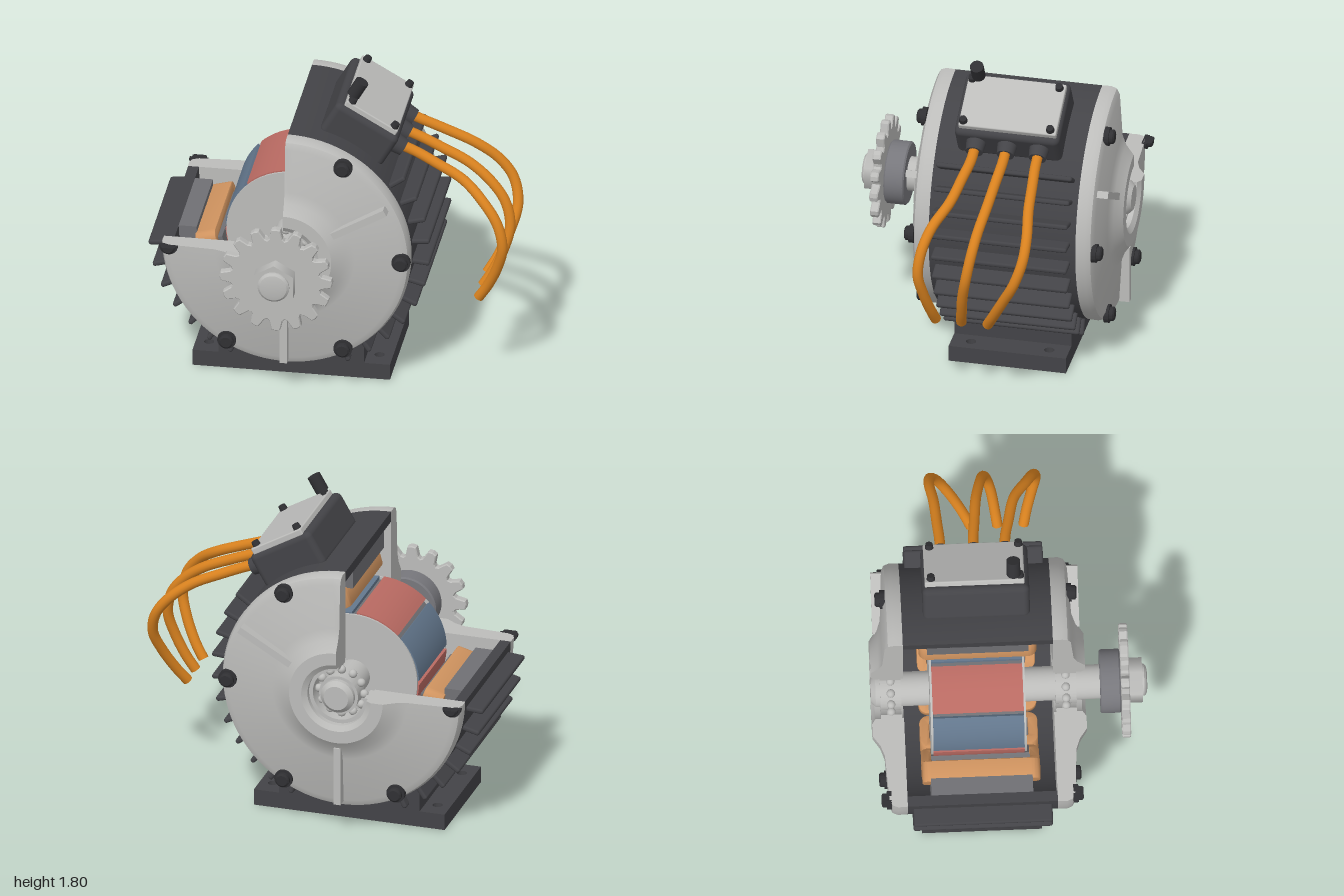
import * as THREE from 'three';
import { mergeGeometries, toCreasedNormals } from 'three/addons/utils/BufferGeometryUtils.js';
import { RoundedBoxGeometry } from 'three/addons/geometries/RoundedBoxGeometry.js';

const mat = (name, color) => Object.assign(new THREE.MeshStandardMaterial({ color }), { name });
const rad = THREE.MathUtils.degToRad;

export function createModel() {
  const root = new THREE.Group();
  root.name = 'cutawayMotor';
  const dark = mat('darkCasing', 0x434347);
  const black = mat('blackBolt', 0x303033);
  const metal = mat('castMetal', 0xbcbcba);
  const steel = mat('laminationSteel', 0x707074);
  const collarGrey = mat('collarGrey', 0x77777c);
  const copper = mat('copperWinding', 0xcf935f);
  const orange = mat('orangeCable', 0xd9821f);
  const red = mat('redMagnet', 0xb96a62);
  const blue = mat('blueMagnet', 0x64788e);

  const add = (parent, name, geo, material, x = 0, y = 0, z = 0) => {
    const m = new THREE.Mesh(geo, material);
    m.name = name;
    m.position.set(x, y, z);
    parent.add(m);
    return m;
  };
  const group = (parent, name) => {
    const g = new THREE.Group();
    g.name = name;
    parent.add(g);
    return g;
  };

  // Revolves a closed counter-clockwise (radius, z) profile through part of a
  // turn about z, and closes both cut ends. Angles in degrees from +x.
  const sector = (profile, start = 180, length = 270, side = 1) => {
    let pts = profile.map(([r, z]) => new THREE.Vector2(r, z * side));
    if (side < 0) pts = pts.reverse();
    const parts = [new THREE.LatheGeometry([...pts, pts[0]], Math.ceil(length / 4), rad(start + 90), rad(length))];
    if (length < 360) {
      const first = new THREE.ShapeGeometry(new THREE.Shape(pts)).rotateY(rad(start));
      const last = new THREE.ShapeGeometry(new THREE.Shape(pts)).rotateY(rad(start + length));
      last.index.array.reverse();
      parts.push(first, last);
    }
    return toCreasedNormals(mergeGeometries(parts).rotateX(Math.PI / 2), 0.5);
  };
  const ring = (r0, r1, z0, z1) => [[r0, z0], [r1, z0], [r1, z1], [r0, z1]];
  // Solid cylinder along z between two depths
  const rod = (r, z0, z1, seg = 40, r2 = r) =>
    new THREE.CylinderGeometry(r2, r, z1 - z0, seg).rotateX(Math.PI / 2).translate(0, 0, (z0 + z1) / 2);

  // Everything on the motor axis sits in this group, centred along its length
  const motor = group(root, 'motor');
  motor.position.set(-0.22, 0.835, -0.17);

  // Housing with radial cooling fins
  add(motor, 'housing', sector(ring(0.63, 0.69, -0.413, 0.413)), dark);
  const fins = group(motor, 'coolingFins');
  const finGeo = new RoundedBoxGeometry(0.12, 0.028, 0.765, 2, 0.012).translate(0.726, 0, 0);
  for (let a = 185; a <= 395; a += 10) {
    if (a > 250 && a < 290) continue;
    add(fins, 'fin', finGeo, dark).rotation.z = rad(a);
  }

  // End caps with ribs, bolts and bearings, front and back
  const capProfile = [[0.17, 0.413], [0.69, 0.413], [0.692, 0.465], [0.68, 0.495], [0.645, 0.512],
    [0.39, 0.527], [0.33, 0.548], [0.27, 0.59], [0.2, 0.59], [0.17, 0.57]];
  for (const s of [1, -1]) {
    const end = group(motor, s > 0 ? 'frontEnd' : 'backEnd');
    add(end, 'endCap', sector(capProfile, 180, 270, s), metal);
    for (const a of [30, -90]) {
      const rib = add(end, 'rib', new THREE.BoxGeometry(0.34, 0.04, 0.1).translate(0.483, 0, s * 0.52), metal);
      rib.rotation.z = rad(a);
    }
    for (const a of [60, 0, -60, -120, 180]) {
      // The bolt on the cut plane is halved with the cap
      const [start, len] = a === 180 ? [180, 180] : [0, 360];
      const bolt = group(end, 'capBolt');
      bolt.position.set(0.647 * Math.cos(rad(a)), 0.647 * Math.sin(rad(a)), 0);
      add(bolt, 'washer', sector(ring(0.001, 0.052, 0.5, 0.528), start, len, s), black);
      add(bolt, 'head', sector([[0.001, 0.52], [0.04, 0.52], [0.04, 0.548], [0.03, 0.556], [0.001, 0.556]], start, len, s), black);
    }
    add(end, 'outerRace', sector(ring(0.148, 0.172, 0.425, 0.54), 180, 270, s), metal);
    add(end, 'innerRace', sector(ring(0.09, 0.112, 0.425, 0.54), 0, 360, s), metal);
    for (let i = 0; i < 12; i++) {
      const a = rad(i * 30);
      add(end, 'bearingBall', new THREE.SphereGeometry(0.024, 14, 10), metal, 0.13 * Math.cos(a), 0.13 * Math.sin(a), s * 0.482);
    }
  }

  // Stator: lamination ring, teeth and copper coils
  const stator = group(motor, 'stator');
  add(stator, 'laminations', sector(ring(0.53, 0.632, -0.28, 0.28)), steel);
  const frame = (w, h, r, S) => {
    const p = new S();
    for (const [sx, sy, a] of [[1, 1, 0], [-1, 1, 90], [-1, -1, 180], [1, -1, 270]])
      p.absarc(sx * (w - r), sy * (h - r), r, rad(a), rad(a + 90), false);
    return p;
  };
  const coilShape = frame(0.325, 0.105, 0.05, THREE.Shape);
  coilShape.holes.push(frame(0.272, 0.05, 0.01, THREE.Path));
  const coilGeo = toCreasedNormals(new THREE.ExtrudeGeometry(coilShape, {
    depth: 0.1, bevelEnabled: true, bevelSize: 0.008, bevelOffset: -0.008, bevelThickness: 0.008, bevelSegments: 2, curveSegments: 6,
  }), 0.6).rotateY(Math.PI / 2).translate(0.42, 0, 0);
  const toothGeo = new THREE.BoxGeometry(0.145, 0.098, 0.54).translate(0.4625, 0, 0);
  for (let a = 195; a < 450; a += 30) {
    add(stator, 'tooth', toothGeo, steel).rotation.z = rad(a);
    add(stator, 'coil', coilGeo, copper).rotation.z = rad(a);
  }

  // Rotor with alternating magnets
  const rotor = group(motor, 'rotor');
  add(rotor, 'core', rod(0.355, -0.255, 0.24, 64), steel);
  for (const z of [-0.27, 0.243]) add(rotor, 'endPlate', rod(0.368, z, z + 0.012, 64), metal);
  for (let i = 0; i < 8; i++)
    add(rotor, 'magnet', sector(ring(0.33, 0.375, -0.258, 0.243), i * 45 + 2, 41), i % 2 ? blue : red);

  // Shaft, collar, sprocket and nut
  const drive = group(motor, 'drive');
  add(drive, 'shaft', rod(0.095, -0.565, 0.68), metal);
  add(drive, 'shaftEnd', rod(0.07, -0.59, -0.565, 40, 0.095), metal);
  add(drive, 'collar', sector([[0.05, 0.67], [0.168, 0.67], [0.176, 0.678], [0.176, 0.776], [0.168, 0.784], [0.05, 0.784]], 0, 360), collarGrey);
  const tooth = [[-0.5, 0.248], [-0.36, 0.258], [-0.27, 0.285], [-0.2, 0.31], [0, 0.315], [0.2, 0.31], [0.27, 0.285], [0.36, 0.258]];
  const outline = [];
  for (let i = 0; i < 16; i++)
    for (const [t, r] of tooth) {
      const a = ((i + t) / 16) * Math.PI * 2;
      outline.push(new THREE.Vector2(r * Math.cos(a), r * Math.sin(a)));
    }
  add(drive, 'sprocket', new THREE.ExtrudeGeometry(new THREE.Shape(outline), {
    depth: 0.036, bevelSize: 0.005, bevelOffset: -0.005, bevelThickness: 0.006, bevelSegments: 1,
  }), metal, 0, 0, 0.79);
  add(drive, 'nut', rod(0.126, 0.83, 0.905, 6), metal);
  add(drive, 'shaftTip', sector([[0.001, 0.9], [0.088, 0.9], [0.088, 0.915], [0.075, 0.926], [0.05, 0.931], [0.001, 0.932]], 0, 360), metal);

  // Foot: drilled plate and a block shaped to the housing
  const foot = group(root, 'foot');
  foot.position.set(-0.215, 0, -0.17);
  const plate = new THREE.Shape([[-0.55, -0.33], [0.55, -0.33], [0.55, 0.33], [-0.55, 0.33]].map((p) => new THREE.Vector2(...p)));
  for (const x of [-0.475, 0.475])
    for (const y of [-0.22, 0.22]) plate.holes.push(new THREE.Path().absarc(x, y, 0.028, 0, Math.PI * 2, true));
  add(foot, 'footPlate', new THREE.ExtrudeGeometry(plate, { depth: 0.093, bevelEnabled: false }).rotateX(-Math.PI / 2), dark);
  const block = new THREE.Shape();
  block.moveTo(-0.406, 0.09).lineTo(0.406, 0.09).lineTo(0.406, 0.235).lineTo(0.341, 0.235);
  block.absarc(0, 0.835, 0.69, rad(-60.4), rad(-119.6), true);
  block.lineTo(-0.406, 0.235);
  add(foot, 'footBlock', new THREE.ExtrudeGeometry(block, { depth: 0.66, bevelEnabled: false, curveSegments: 24 }), dark, 0, 0, -0.33);

  // Terminal box, tilted on the upper shoulder
  const box = group(motor, 'terminalBox');
  box.rotation.z = rad(-30);
  add(box, 'boxBody', new RoundedBoxGeometry(0.4, 0.22, 0.59, 4, 0.035), dark, 0, 0.748, 0);
  add(box, 'boxLid', new RoundedBoxGeometry(0.33, 0.04, 0.55, 2, 0.008), metal, 0.005, 0.868, -0.005);
  for (const x of [-0.13, 0.14])
    for (const z of [-0.245, 0.245])
      add(box, 'lidScrew', new THREE.CylinderGeometry(0.02, 0.024, 0.03, 20), black, x, 0.9, z);
  add(box, 'knobStem', new THREE.CylinderGeometry(0.014, 0.014, 0.05, 16), black, -0.142, 0.9, 0.21);
  add(box, 'knob', new THREE.CylinderGeometry(0.038, 0.038, 0.098, 28), black, -0.142, 0.96, 0.21);
  for (const z of [0.175, 0, -0.18]) {
    add(box, 'cableGland', new THREE.CylinderGeometry(0.048, 0.057, 0.075, 24).rotateZ(-Math.PI / 2), dark, 0.222, 0.768, z);
  }

  // Three cables sharing one side profile, fanned out along z
  const path = [[0.36, 1.392], [0.46, 1.352], [0.57, 1.305], [0.73, 1.23], [0.856, 1.134], [0.936, 1.027], [0.967, 0.893], [0.936, 0.76], [0.877, 0.626], [0.824, 0.54]];
  const spreads = [
    [0.005, 0.008, 0.03, 0.067, 0.14, 0.18, 0.195, 0.172, 0.142, 0.124],
    [-0.17, -0.168, -0.158, -0.143, -0.118, -0.098, -0.075, -0.05, -0.032, -0.02],
    [-0.352, -0.354, -0.363, -0.376, -0.394, -0.388, -0.345, -0.278, -0.21, -0.167],
  ];
  for (const zs of spreads) {
    const curve = new THREE.CatmullRomCurve3(path.map(([x, y], i) => new THREE.Vector3(x, y, zs[i])));
    const cable = group(root, 'cable');
    add(cable, 'cableRun', new THREE.TubeGeometry(curve, 70, 0.029, 14), orange);
    const tip = add(cable, 'cableTip', new THREE.CircleGeometry(0.029, 14), orange);
    tip.position.copy(curve.getPoint(1));
    tip.quaternion.setFromUnitVectors(new THREE.Vector3(0, 0, 1), curve.getTangent(1));
  }
  return root;
}
